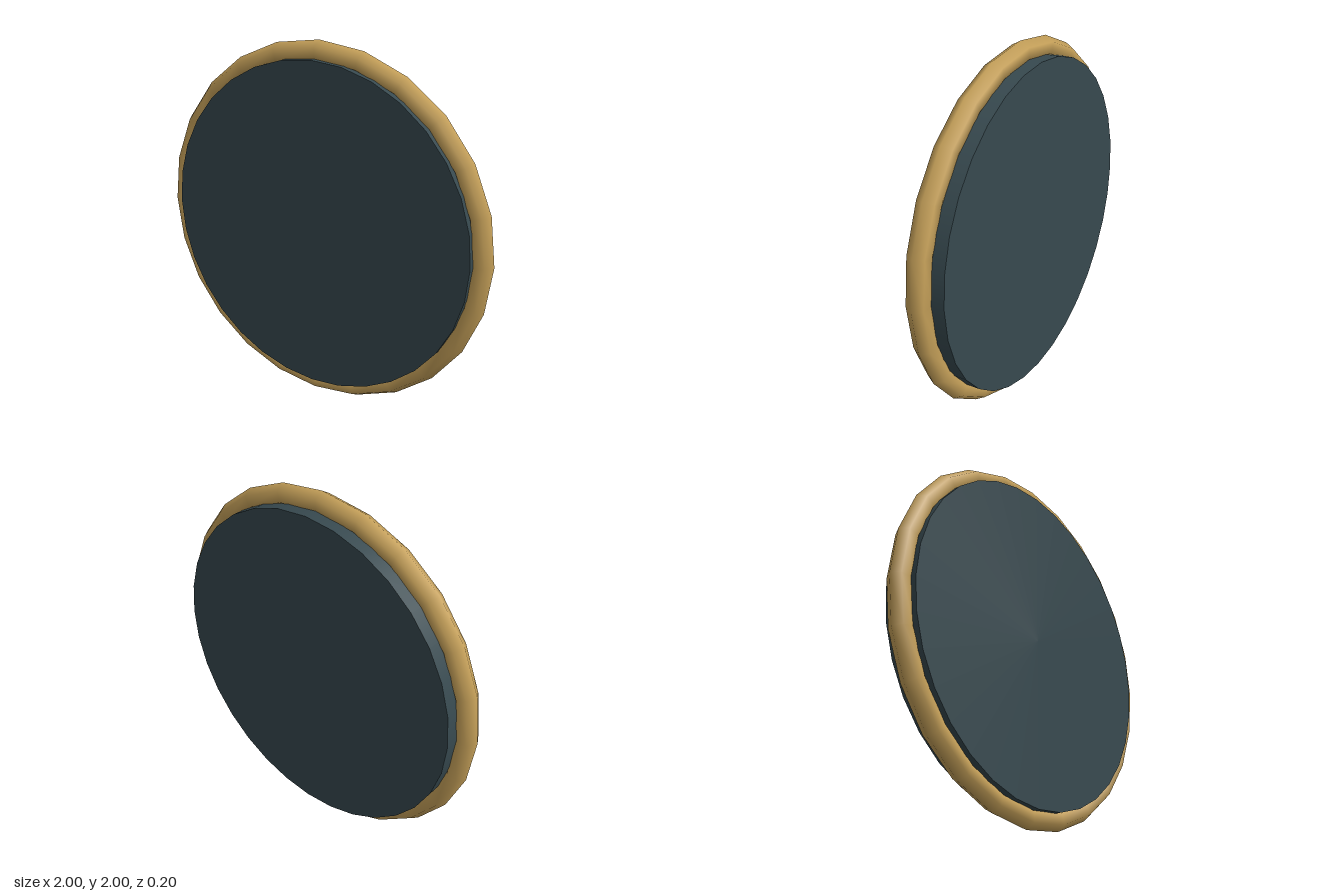
import * as THREE from 'three';

export function createModel() {
  const model = new THREE.Group();
  model.name = 'rimmedDisc';

  const slate = new THREE.MeshStandardMaterial({ color: 0x37494f });
  slate.name = 'dark slate';
  const brass = new THREE.MeshStandardMaterial({ color: 0xc5a059 });
  brass.name = 'brass';

  // Upright disc, smooth round the side with flat faces front and back
  const disc = new THREE.Mesh(new THREE.CylinderGeometry(0.91, 0.91, 0.2, 32), slate);
  disc.name = 'disc';
  disc.rotation.x = Math.PI / 2;
  disc.position.y = 1;
  model.add(disc);

  // Six-sided rim band, set slightly towards the front
  const tube = 0.058;
  const rim = new THREE.Mesh(new THREE.TorusGeometry(1 - tube, tube, 6, 24), brass);
  rim.name = 'rim';
  rim.position.set(0, 1, 0.02);
  model.add(rim);

  return model;
}
